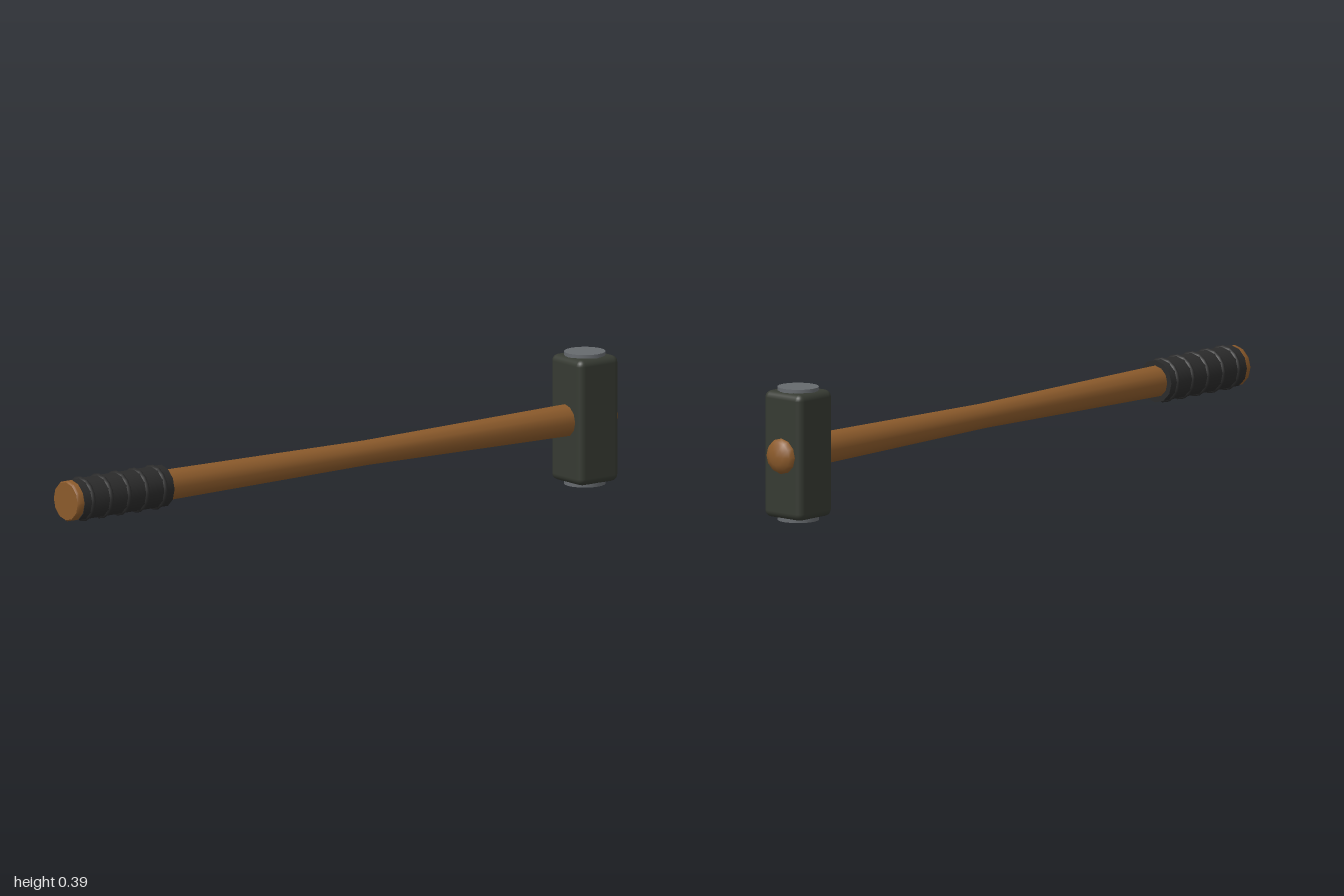
import * as THREE from 'three';
import { RoundedBoxGeometry } from 'three/addons/geometries/RoundedBoxGeometry.js';
import { toCreasedNormals } from 'three/addons/utils/BufferGeometryUtils.js';

const AXIS_Y = 0.195;
const HEAD_X = 0.9;

const paint = (color) => new THREE.MeshStandardMaterial({ color });

function addMesh(parent, name, geometry, material, x = 0, y = 0) {
  const mesh = new THREE.Mesh(geometry, material);
  mesh.name = name;
  mesh.position.set(x, y, 0);
  parent.add(mesh);
  return mesh;
}

// Turned part along x from [x, radius] pairs, running from -x to +x
function turned(profile, sides) {
  const points = profile.map(([x, r]) => new THREE.Vector2(r, x));
  const lathe = new THREE.LatheGeometry(points, sides).rotateZ(-Math.PI / 2);
  return toCreasedNormals(lathe, 0.7);
}

export function createModel() {
  const wood = paint(0x8b5a2b);
  const iron = paint(0x363a32);
  const steel = paint(0x666a6e);
  const wrap = paint(0x2b2b2b);

  const model = new THREE.Group();
  model.name = 'sledgehammer';

  // Wooden shaft, slimmest near the middle
  addMesh(model, 'shaft', turned([
    [-0.97, 0], [-0.97, 0.05], [-0.65, 0.046], [0.1, 0.037], [0.85, 0.048], [0.97, 0.048], [0.97, 0],
  ], 12), wood, 0, AXIS_Y);

  // Flared butt of the shaft
  addMesh(model, 'butt', turned([
    [-1, 0], [-1, 0.056], [-0.994, 0.06], [-0.97, 0.06], [-0.97, 0],
  ], 12), wood, 0, AXIS_Y);

  // Domed shaft end showing through the head
  addMesh(model, 'shaftEnd', turned([
    [0.95, 0], [0.95, 0.052], [0.975, 0.052], [0.988, 0.044], [0.997, 0.025], [1, 0],
  ], 12), wood, 0, AXIS_Y);

  // Wrapped grip with raised rings
  const grip = new THREE.Group();
  grip.name = 'grip';
  grip.position.y = AXIS_Y;
  model.add(grip);
  addMesh(grip, 'gripSleeve', turned([
    [-0.978, 0.045], [-0.978, 0.062], [-0.65, 0.062], [-0.65, 0.04],
  ], 12), wrap);
  for (let i = 0; i < 5; i++) {
    const ring = new THREE.TorusGeometry(0.058, 0.008, 6, 16).rotateY(Math.PI / 2);
    addMesh(grip, 'gripRing', ring, wrap, -0.945 + i * 0.066);
  }

  // Head block with softened edges
  addMesh(model, 'head', new RoundedBoxGeometry(0.145, 0.37, 0.145, 3, 0.02), iron, HEAD_X, AXIS_Y);

  // Round striking faces on both ends of the head
  for (const side of [1, -1]) {
    const face = toCreasedNormals(new THREE.CylinderGeometry(0.06, 0.06, 0.03, 20), 0.7);
    addMesh(model, 'strikingFace', face, steel, HEAD_X, AXIS_Y + side * 0.18);
  }

  return model;
}
